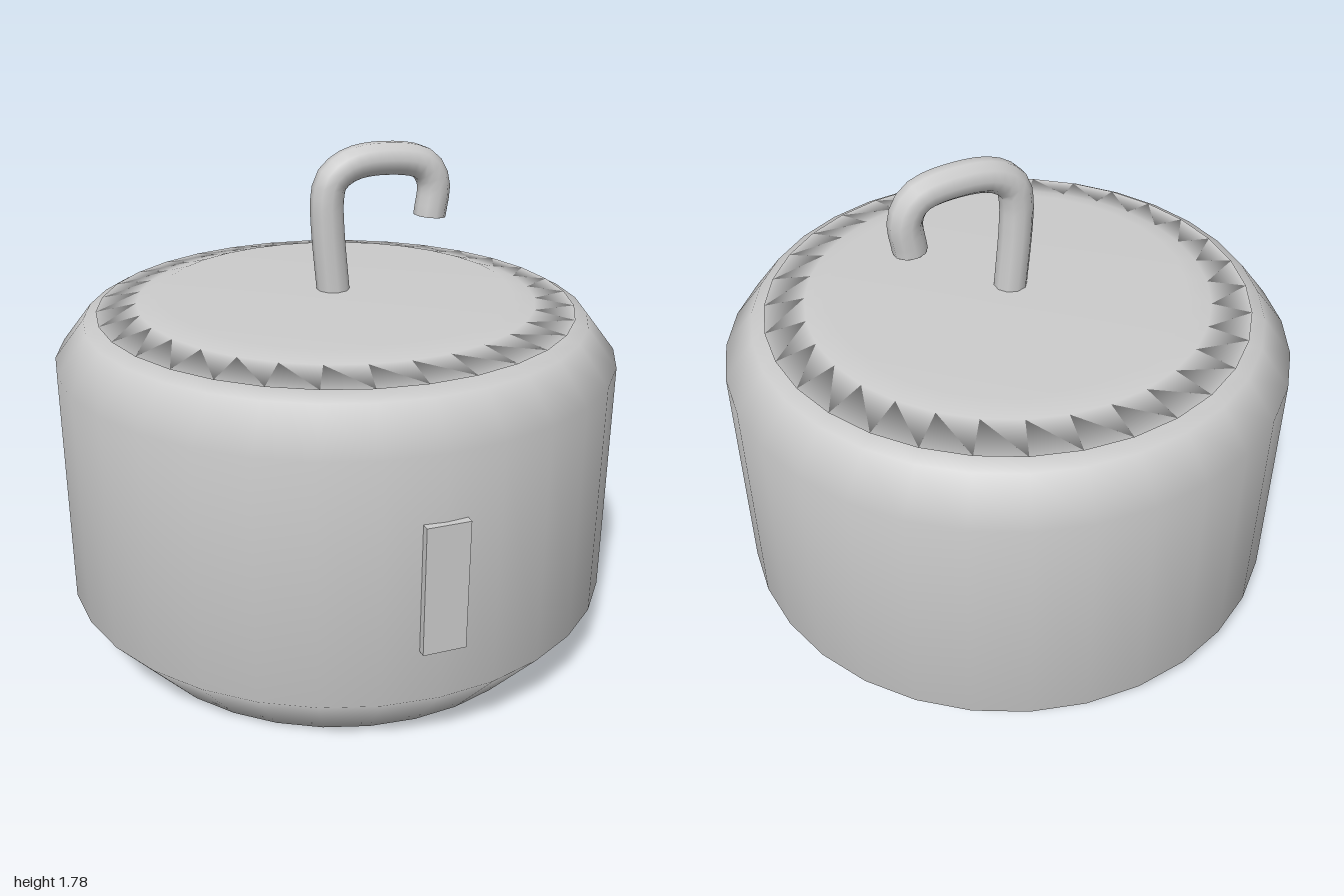
import * as THREE from 'three';

export function createModel() {
  const group = new THREE.Group();
  const material = new THREE.MeshStandardMaterial({ color: 0xcccccc, side: THREE.DoubleSide });
  const add = (name, geometry, x = 0, y = 0, z = 0) => {
    const mesh = new THREE.Mesh(geometry, material);
    mesh.name = name;
    mesh.position.set(x, y, z);
    group.add(mesh);
    return mesh;
  };
  const lathe = (profile) =>
    new THREE.LatheGeometry(profile.map(([r, y]) => new THREE.Vector2(r, y)), 32);
  const centreZ = -0.01;

  // Round body with chamfered bottom and shoulder
  add('body', lathe([
    [0, 0], [0.8, 0], [0.99, 0.22], [0.99, 1.065], [0.885, 1.2], [0.8, 1.205], [0, 1.205],
  ]), 0, 0, centreZ);

  // Thin lid: plug underneath, overhanging rim, raised centre
  add('lid', lathe([
    [0, 1.205], [0.64, 1.205], [0.665, 1.225], [0.665, 1.235], [0.84, 1.225],
    [0.7, 1.25], [0.62, 1.275], [0, 1.275],
  ]), 0, 0, centreZ);

  // Bent hook handle
  const path = new THREE.CatmullRomCurve3([
    [-0.008, 1.25], [-0.03, 1.5], [-0.031, 1.6], [-0.015, 1.66], [0.05, 1.708],
    [0.17, 1.724], [0.32, 1.697], [0.364, 1.63], [0.353, 1.51],
  ].map(([x, y]) => new THREE.Vector3(x, y, 0)));
  const radius = 0.058;
  add('hookHandle', new THREE.TubeGeometry(path, 28, radius, 10), 0, 0, centreZ);
  const tip = path.getPoint(1);
  const cap = add('hookTip', new THREE.CircleGeometry(radius, 10), tip.x, tip.y, centreZ);
  cap.quaternion.setFromUnitVectors(new THREE.Vector3(0, 0, 1), path.getTangent(1));

  // Narrow plate on the front
  add('frontPlate', new THREE.BoxGeometry(0.145, 0.44, 0.04), 0, 0.623, 0.98);

  return group;
}
